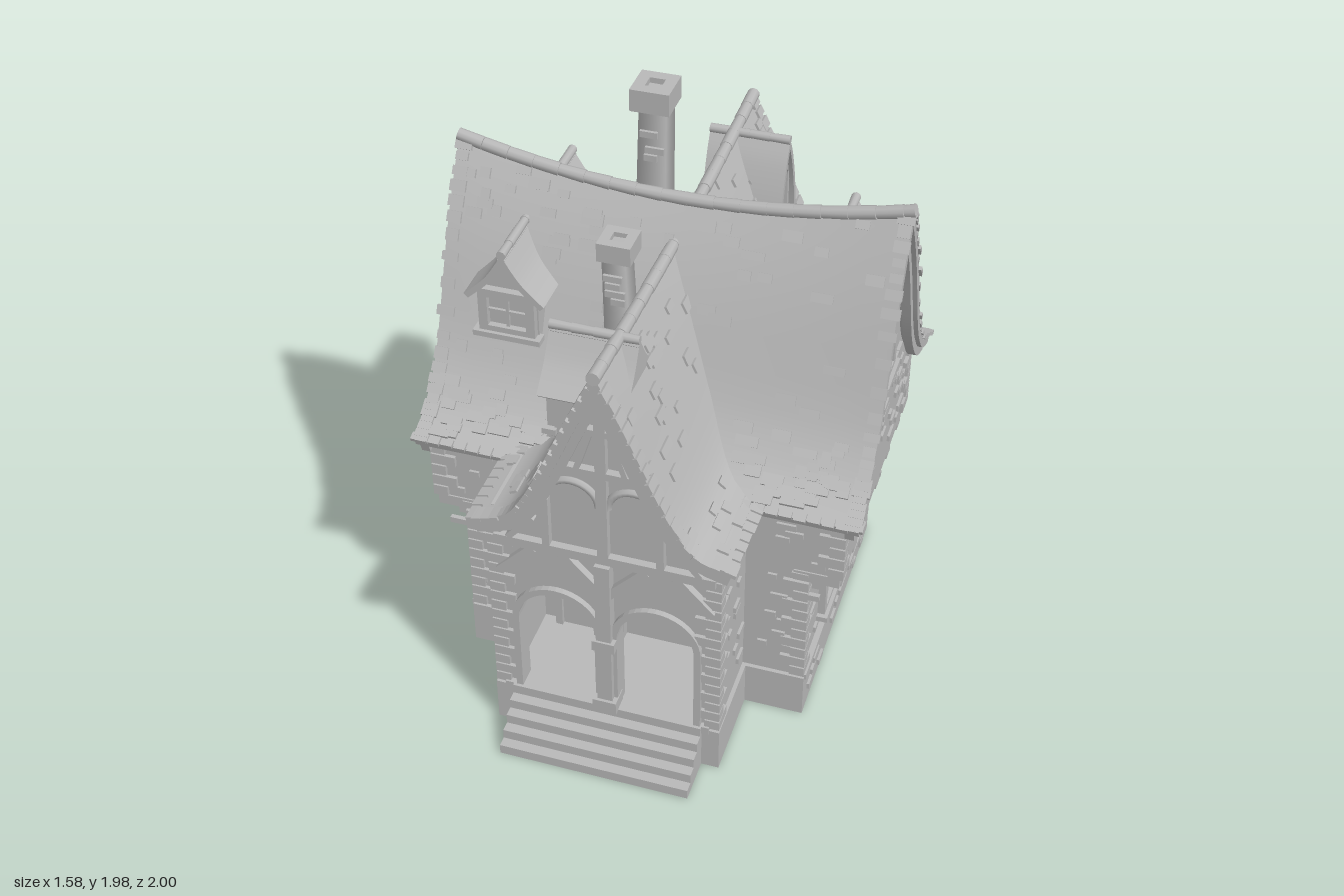
import * as THREE from 'three';
import { mergeGeometries, toCreasedNormals } from 'three/addons/utils/BufferGeometryUtils.js';

const stone = new THREE.MeshStandardMaterial({ color: 0xb8b8b8, side: THREE.DoubleSide });
stone.name = 'plain grey';
let seed = 7;
const rand = (a = 0, b = 1) => { seed = (seed * 16807) % 2147483647; return a + (b - a) * seed / 2147483647; };

function add(parent, name, geo, x = 0, y = 0, z = 0, rz = 0) {
  const m = new THREE.Mesh(geo, stone);
  m.name = name;
  m.position.set(x, y, z);
  m.rotation.z = rz;
  parent.add(m);
  return m;
}
const box = (p, name, w, h, d, x, y, z, rz) => add(p, name, new THREE.BoxGeometry(w, h, d), x, y, z, rz);
const span = (p, name, x0, x1, y0, y1, z0, z1) =>
  box(p, name, x1 - x0, y1 - y0, z1 - z0, (x0 + x1) / 2, (y0 + y1) / 2, (z0 + z1) / 2);
const extrude = (shape, d) => new THREE.ExtrudeGeometry(shape, { depth: d, bevelEnabled: false, curveSegments: 10 });
function frame(parent, name, x, y, z, yaw = 0) {
  const g = new THREE.Group();
  g.name = name;
  g.position.set(x, y, z);
  g.rotation.y = yaw;
  parent.add(g);
  return g;
}
function block(w, h, d, x, y, z, rz = 0) {
  return new THREE.BoxGeometry(w, h, d).rotateZ(rz).translate(x, y, z);
}
const spline = pts => new THREE.SplineCurve(pts.map(p => new THREE.Vector2(...p)));
const lift = (r, y, z) => r.eave + (y - r.eave) * (1 + r.k * z * z);

// Curved, sagging roof sheet swept along local z; the profile is half of a gable
function roofSheet(r, z0, z1, top, thick) {
  const half = Array.from({ length: 17 }, (_, i) => {
    const p = r.curve.getPoint(i / 16), t = r.curve.getTangent(i / 16);
    return { p, n: i ? new THREE.Vector2(-t.y, t.x) : new THREE.Vector2(0, 1.5) };
  });
  const at = (e, o, s) => [s * (e.p.x + e.n.x * o), e.p.y + e.n.y * o];
  const row = o => [...half.slice(1).reverse().map(e => at(e, o, -1)), ...half.map(e => at(e, o, 1))];
  const outer = row(top), inner = row(top - thick).reverse();
  const loop = [...outer, ...inner], n = loop.length, m = outer.length, nz = 12, pos = [], idx = [];
  for (let j = 0; j <= nz; j++) {
    const z = z0 + (z1 - z0) * j / nz;
    for (const [x, y] of loop) pos.push(x, lift(r, y, z), z);
  }
  for (let j = 0; j < nz; j++) for (let i = 0; i < n; i++) {
    const a = j * n + i, b = j * n + (i + 1) % n;
    idx.push(a, a + n, b, b, a + n, b + n);
  }
  for (let i = 0; i < m - 1; i++) {
    const a = i, b = i + 1, c = n - 1 - i, d = n - 2 - i, e = nz * n;
    idx.push(a, b, c, b, d, c, e + a, e + c, e + b, e + b, e + c, e + d);
  }
  const g = new THREE.BufferGeometry();
  g.setAttribute('position', new THREE.Float32BufferAttribute(pos, 3));
  g.setIndex(idx);
  return toCreasedNormals(g, 0.6);
}
// Loose tiles: scattered over the slopes, plus rows on the eaves and gable edges
function tiles(r, z0, z1, count) {
  const out = [];
  const put = (t, z, s, w) => {
    const p = r.curve.getPoint(t), d = r.curve.getTangent(t);
    out.push(block(rand(0.025, 0.04), 0.014, w, s * p.x, lift(r, p.y, z) + 0.003, z, s * Math.atan2(d.y, d.x)));
  };
  for (const s of [-1, 1]) {
    for (let i = 0; i < count; i++) put(rand(0.06, 0.95), rand(z0 + 0.04, z1 - 0.04), s, rand(0.03, 0.08));
    for (let z = z0 + 0.025; z < z1; z += 0.045) put(0.985, z, s, 0.038);
    for (let t = 0.04; t < 0.99; t += 0.045) for (const z of [z0 + 0.02, z1 - 0.02]) put(t, z, s, rand(0.04, 0.06));
  }
  return mergeGeometries(out);
}
function ridge(r, z0, z1, rad, step) {
  const out = [], top = r.curve.getPoint(0).y;
  for (let z = z0; z < z1 - 0.01; z += step) {
    const l = Math.min(step, z1 - z), y = lift(r, top, z + l / 2);
    const tilt = Math.atan2(lift(r, top, z + l) - lift(r, top, z), l);
    out.push(new THREE.CylinderGeometry(rad, rad * rand(0.85, 1), l, 10).rotateX(Math.PI / 2 - tilt).translate(0, y, z + l / 2));
  }
  return mergeGeometries(out);
}
function gableShape(r, hw, y0, z) {
  const pts = r.curve.getPoints(20).filter(p => p.x < hw).map(p => [p.x, lift(r, p.y, z) - 0.03]);
  const last = pts[pts.length - 1][1];
  const all = [[-hw, y0], [hw, y0], [hw, last], ...pts.slice().reverse(), ...pts.slice(1).map(p => [-p[0], p[1]]), [-hw, last]];
  return new THREE.Shape(all.map(p => new THREE.Vector2(...p)));
}
function opening(w, h, round, x = 0, y = 0, Kind = THREE.Shape) {
  const s = new Kind();
  s.moveTo(x - w / 2, y).lineTo(x + w / 2, y);
  if (round) s.lineTo(x + w / 2, y + h - w / 2).absarc(x, y + h - w / 2, w / 2, 0, Math.PI, false);
  else s.lineTo(x + w / 2, y + h).lineTo(x - w / 2, y + h);
  s.closePath();
  return s;
}
function windowUnit(parent, name, x, y, w, h, round = true, z = 0) {
  const g = frame(parent, name, x, y, z), b = w * 0.16;
  const s = opening(w, h, round);
  s.holes.push(opening(w - 2 * b, h - 2 * b, round, 0, b, THREE.Path));
  add(g, 'windowFrame', extrude(s, 0.025));
  add(g, 'windowPane', new THREE.ShapeGeometry(opening(w - b, h - b, round, 0, b / 2)), 0, 0, 0.004);
  box(g, 'mullion', 0.01, h - b, 0.012, 0, h / 2, 0.008);
  box(g, 'glazingBar', w - b, 0.01, 0.012, 0, h * 0.5, 0.008);
  box(g, 'sill', w * 1.2, 0.02, 0.045, 0, 0, 0.015);
}
function bricks(parent, u0, u1, y0, y1, count, keep = () => true) {
  const out = [];
  for (let i = 0; i < count; i++) {
    const u = rand(u0 + 0.03, u1 - 0.03), y = y0 + Math.round(rand(0.02, y1 - y0 - 0.02) / 0.028) * 0.028;
    if (keep(u, y)) out.push(block(rand(0.03, 0.07), 0.022, 0.016, u, y, 0.001));
  }
  add(parent, 'raisedBricks', mergeGeometries(out));
}
function quoins(parent, x, z, sx, sz, y0, y1) {
  const out = [], n = Math.round((y1 - y0) / 0.042), h = (y1 - y0) / n;
  for (let i = 0; i < n; i++) {
    const a = i % 2 ? 0.085 : 0.05, b = i % 2 ? 0.05 : 0.085;
    out.push(block(a, h - 0.006, b, x + sx * (0.013 - a / 2), y0 + h * (i + 0.5), z + sz * (0.013 - b / 2)));
  }
  add(parent, 'cornerStones', mergeGeometries(out));
}
// Dormer facing local +z, origin at the foot of its window wall
function dormer(parent, x, y, z, yaw, pointed) {
  const g = frame(parent, 'dormer', x, y, z, yaw);
  const r = { eave: 0, k: 0, curve: spline(pointed
    ? [[0, 0.35], [0.045, 0.27], [0.09, 0.14], [0.115, 0.0]] : [[0, 0.33], [0.06, 0.235], [0.135, 0.16]]) };
  add(g, 'dormerWall', extrude(gableShape(r, pointed ? 0.085 : 0.1, 0, 0), 0.24), 0, 0, -0.24);
  add(g, 'dormerRoof', roofSheet(r, -0.24, 0.04, 0, 0.02));
  add(g, 'dormerRidge', ridge(r, -0.24, 0.05, 0.016, 0.07));
  windowUnit(g, 'dormerWindow', 0, 0.01, pointed ? 0.13 : 0.19, pointed ? 0.24 : 0.17, pointed);
}
function chimney(parent, x, z, w, y0, y1, lean) {
  const g = frame(parent, 'chimney', x, 0, z);
  const shaft = new THREE.CylinderGeometry(w * 0.66, w * 0.75, y1 - y0, 4).rotateY(Math.PI / 4);
  add(g, 'chimneyShaft', shaft, 0, (y0 + y1) / 2, 0, lean);
  const c = w * 1.35, s = opening(c, c, false, 0, -c / 2);
  s.holes.push(opening(c * 0.4, c * 0.4, false, 0, -c * 0.2, THREE.Path));
  add(g, 'chimneyCap', extrude(s, w * 0.8).rotateX(-Math.PI / 2), 0, y1 - w * 0.6, 0);
  bricks(frame(g, 'chimneyBricks', 0, 0, w / 2), -w / 2, w / 2, y1 - 0.25, y1 - 0.08, 4);
}

export function createModel() {
  const root = new THREE.Group();
  root.name = 'house';
  const PI = Math.PI;

  // Crossing roofs
  const main = { eave: 0.91, k: 0.24, curve: spline([[0, 1.655], [0.08, 1.54], [0.17, 1.38], [0.29, 1.12], [0.38, 1.0], [0.45, 0.945], [0.53, 0.915]]) };
  const wing = { eave: 0.91, k: 0.07, curve: spline([[0, 1.53], [0.08, 1.37], [0.165, 1.18], [0.24, 1.03], [0.31, 0.95], [0.42, 0.915]]) };
  for (const [r, name, z0, z1, g, n] of [
    [main, 'main', -0.735, 0.735, frame(root, 'mainRoof', 0.045, 0, 0.055, PI / 2), 150],
    [wing, 'wing', -0.79, 0.89, frame(root, 'wingRoof', 0.045, 0, 0), 90]]) {
    add(g, name + 'RoofSlopes', roofSheet(r, z0, z1, 0, 0.03));
    add(g, name + 'RoofTiles', tiles(r, z0, z1, n));
    add(g, name + 'Ridge', ridge(r, z0 - 0.005, z1 + 0.005, 0.022, 0.085));
    for (const z of [z0 + 0.015, z1 - 0.045]) add(g, 'bargeBoard', roofSheet(r, z, z + 0.03, -0.028, 0.03));
  }

  // Hollow walls with a projecting plinth
  const walls = frame(root, 'walls', 0, 0, 0);
  const low = [];
  for (const [a, b] of [[-0.54, -0.5], [0.57, 0.61]]) low.push([a, b, -0.42, 0.52, 0.62]);
  for (const [a, b] of [[-0.54, -0.31], [0.39, 0.61]]) low.push([a, b, 0.48, 0.52, 0.62], [a, b, -0.42, -0.38, 0.62]);
  for (const [a, b] of [[-0.33, -0.29], [0.37, 0.41]]) low.push([a, b, 0.48, 0.82, 0.93], [a, b, -0.73, -0.38, 0.93]);
  for (const [a, b, c, d, h] of low) {
    span(walls, 'wall', a, b, 0, h, c, d);
    span(walls, 'plinth', a - 0.014, b + 0.014, 0, 0.165, c - 0.014, d + 0.014);
  }
  span(walls, 'plinth', -0.344, 0.424, 0, 0.165, -0.744, -0.69);
  for (const [a, b] of [[-0.344, -0.28], [0.36, 0.424]]) span(walls, 'plinth', a, b, 0, 0.165, 0.79, 0.846);
  for (const [a, b, c, d] of [[-0.65, -0.31, -0.65, -0.5], [0.39, 0.72, 0.57, 0.72]]) {
    span(walls, 'upperWall', a, b, 0.62, 0.92, 0.48, 0.52);
    span(walls, 'upperWall', a, b, 0.62, 0.92, -0.42, -0.38);
    span(walls, 'jettyFloor', c, d, 0.6, 0.64, -0.425, 0.525);
  }
  for (const sz of [-1, 1]) {
    const z = sz > 0 ? 0.52 : -0.42, zw = sz > 0 ? 0.83 : -0.73;
    for (const sx of [-1, 1]) {
      quoins(walls, sx > 0 ? 0.61 : -0.54, z, sx, sz, 0.17, 0.6);
      quoins(walls, sx > 0 ? 0.72 : -0.65, z, sx, sz, 0.64, 0.91);
      quoins(walls, sx > 0 ? 0.41 : -0.33, zw, sx, sz, 0.17, 0.91);
      const g = frame(walls, 'returnWall', sx > 0 ? 0.56 : -0.49, 0, z, sz > 0 ? 0 : PI);
      bricks(g, -0.13, 0.13, 0.2, 0.9, 14);
      const w = frame(walls, 'wingSide', sx > 0 ? 0.41 : -0.33, 0, sz > 0 ? 0.67 : -0.57, sx * PI / 2);
      bricks(w, -0.13, 0.13, 0.2, 0.9, 16);
    }
  }

  // Gable ends on jetties with brackets
  for (const s of [-1, 1]) {
    const up = frame(root, 'sideGable', s > 0 ? 0.72 : -0.65, 0, 0.05, s * PI / 2);
    add(up, 'gableWall', extrude(gableShape(main, 0.47, 0.62, 0.7), 0.04), 0, 0, -0.04);
    windowUnit(up, 'gableWindow', 0, 1.1, 0.17, 0.21);
    bricks(up, -0.44, 0.44, 0.66, 0.97, 48);
    bricks(up, -0.28, 0.28, 1.03, 1.5, 26, (u, y) => Math.abs(u) < (1.62 - y) * 0.5 && (Math.abs(u) > 0.12 || y > 1.34));
    for (let i = 0; i < 10; i++) box(up, 'bandStone', 0.052, 0.045 + rand(0, 0.012), 0.022, -0.255 + i * 0.057, 1.015, 0);
    for (let i = 0; i < 6; i++) {
      box(up, 'jettyBracket', 0.055, 0.05, 0.1, -0.41 + i * 0.164, 0.6, -0.05);
      box(up, 'jettyBracketFoot', 0.045, 0.04, 0.06, -0.41 + i * 0.164, 0.555, -0.08);
    }
    const lowSide = frame(root, 'sideWall', s > 0 ? 0.61 : -0.54, 0, 0.05, s * PI / 2);
    bricks(lowSide, -0.42, 0.42, 0.2, 0.56, 44);
    bricks(frame(lowSide, 'plinthFace', 0, 0, 0.014), -0.45, 0.45, 0.02, 0.15, 16);
    box(lowSide, 'plinthCourse', 0.95, 0.022, 0.04, 0, 0.165, 0);
    windowUnit(lowSide, 'archedWindow', s > 0 ? 0.17 : -0.15, 0.18, 0.18, 0.25);
    if (s > 0) windowUnit(lowSide, 'squareWindow', -0.17, 0.24, 0.17, 0.18, false);
  }

  // Front gable: twin arches below, timber frame above
  const front = frame(root, 'frontGable', 0.045, 0, 0.83);
  const face = gableShape(wing, 0.37, 0, 0.83);
  for (const x of [-0.165, 0.165]) face.holes.push(opening(0.26, 0.455, true, x, 0.17, THREE.Path));
  add(front, 'frontWall', extrude(face, 0.04), 0, 0, -0.04);
  for (const x of [-0.165, 0.165]) {
    const s = opening(0.3, 0.475, true, x, 0.17);
    s.holes.push(opening(0.255, 0.4525, true, x, 0.17, THREE.Path));
    add(front, 'archSurround', extrude(s, 0.07), 0, 0, -0.05);
  }
  for (const [x, y, w, h, rz] of [
    [0, 0.825, 0.72, 0.035, 0], [0, 1.17, 0.33, 0.026, 0], [0, 1.33, 0.2, 0.022, 0], [0, 1.43, 0.12, 0.02, 0],
    [0, 1.16, 0.035, 0.66, 0], [-0.185, 0.93, 0.024, 0.2, 0], [0.185, 0.93, 0.024, 0.2, 0],
    [-0.07, 0.74, 0.03, 0.2, 0.75], [0.07, 0.74, 0.03, 0.2, -0.75], [-0.29, 0.75, 0.03, 0.17, -0.75], [0.29, 0.75, 0.03, 0.17, 0.75],
    [-0.055, 1.25, 0.018, 0.15, -0.3], [0.055, 1.25, 0.018, 0.15, 0.3], [-0.27, 0.89, 0.02, 0.13, -0.7], [0.27, 0.89, 0.02, 0.13, 0.7]])
    box(front, 'timber', w, h, 0.03, x, y, 0.01, rz);
  for (const x of [-0.1, 0.1]) add(front, 'archedBrace', new THREE.TorusGeometry(0.085, 0.013, 6, 16, PI), x, 1.03, 0.008);
  box(front, 'porchPost', 0.05, 0.62, 0.05, 0, 0.5, 0.015);
  box(front, 'postBase', 0.08, 0.05, 0.07, 0, 0.2, 0.015);
  box(front, 'postCapital', 0.075, 0.04, 0.065, 0, 0.47, 0.015);

  // Porch, door and entrance steps
  span(root, 'porchFloor', -0.31, 0.39, 0.15, 0.18, 0.48, 0.85);
  span(root, 'doorWall', -0.31, 0.03, 0.17, 0.92, 0.48, 0.52);
  span(root, 'lowRail', 0.03, 0.39, 0.17, 0.31, 0.48, 0.52);
  const door = frame(root, 'frontDoor', -0.12, 0.18, 0.52);
  box(door, 'doorPanel', 0.2, 0.3, 0.02, 0, 0.15, 0.005);
  for (const x of [-0.11, 0.11]) box(door, 'doorJamb', 0.024, 0.31, 0.04, x, 0.155, 0.01);
  box(door, 'doorLintel', 0.25, 0.025, 0.05, 0, 0.315, 0.01);
  box(door, 'doorHandle', 0.015, 0.03, 0.02, 0.07, 0.14, 0.02);
  for (let i = 0; i < 5; i++) span(root, 'entranceStep', -0.28, 0.365, i * 0.036, (i + 1) * 0.036, 0.82, 1 - i * 0.035);

  // Rear gable with a lean-to bay and round window
  const back = frame(root, 'rearGable', 0.045, 0, -0.73, PI);
  add(back, 'rearWall', extrude(gableShape(wing, 0.37, 0, 0.75), 0.04), 0, 0, -0.04);
  bricks(back, -0.35, 0.35, 0.2, 0.92, 44);
  box(back, 'plinthCourse', 0.76, 0.022, 0.04, 0, 0.165, 0);
  const bay = frame(back, 'bay', 0.015, 0, 0);
  const bayShape = new THREE.Shape([[0, 0.43], [0.12, 0.49], [0.12, 0.86], [0, 0.97]].map(p => new THREE.Vector2(...p)));
  add(bay, 'bayWalls', extrude(bayShape, 0.3).rotateY(-PI / 2), 0.15, 0, 0);
  const lean = new THREE.Shape([[0, 0.99], [0.1, 0.925], [0.2, 0.835], [0.27, 0.81], [0.26, 0.785], [0.19, 0.81], [0.1, 0.895], [0, 0.96]].map(p => new THREE.Vector2(...p)));
  add(bay, 'bayRoof', extrude(lean, 0.4).rotateY(-PI / 2), 0.2, 0, 0);
  add(bay, 'roundWindowRing', new THREE.TorusGeometry(0.075, 0.018, 6, 20), 0, 0.66, 0.122);
  box(bay, 'roundWindowBar', 0.012, 0.14, 0.015, 0, 0.66, 0.122);
  box(bay, 'roundWindowBar', 0.14, 0.012, 0.015, 0, 0.66, 0.122);
  for (const x of [-0.12, 0, 0.12]) box(bay, 'bayBracket', 0.035, 0.07, 0.09, x, 0.44, 0.045);
  bricks(frame(bay, 'bayFace', 0, 0, 0.12), -0.15, 0.15, 0.5, 0.8, 14, (u, y) => Math.hypot(u, y - 0.66) > 0.1);

  // Outside stair up to the side door
  for (let i = 0; i < 12; i++) span(root, 'sideStep', -0.79 + i * 0.039, -0.33, i * 0.039, (i + 1) * 0.039, -0.67, -0.48);
  for (let i = 0; i < 7; i++) span(root, 'stairKerb', -0.64 + i * 0.044, -0.33, 0.1 + i * 0.045, 0.2 + i * 0.045, -0.7, -0.665);
  span(root, 'stairPost', -0.65, -0.595, 0, 0.26, -0.71, -0.655);
  span(root, 'stairPostCap', -0.66, -0.585, 0.26, 0.285, -0.72, -0.645);
  windowUnit(frame(root, 'sideDoor', -0.33, 0, -0.57, -PI / 2), 'sideDoorway', 0, 0.47, 0.17, 0.33);

  // Dormers and chimneys
  dormer(root, -0.44, 1.21, 0.33, 0, false);
  dormer(root, -0.44, 1.21, -0.25, PI, false);
  dormer(root, 0.53, 1.19, -0.25, PI, true);
  dormer(root, 0.2, 1.19, -0.56, PI / 2, true);
  dormer(root, -0.13, 1.22, 0.66, -PI / 2, false);
  chimney(root, -0.072, -0.055, 0.095, 1.4, 1.965, -0.02);
  chimney(root, -0.045, 0.39, 0.08, 1.25, 1.69, 0.03);
  return root;
}
